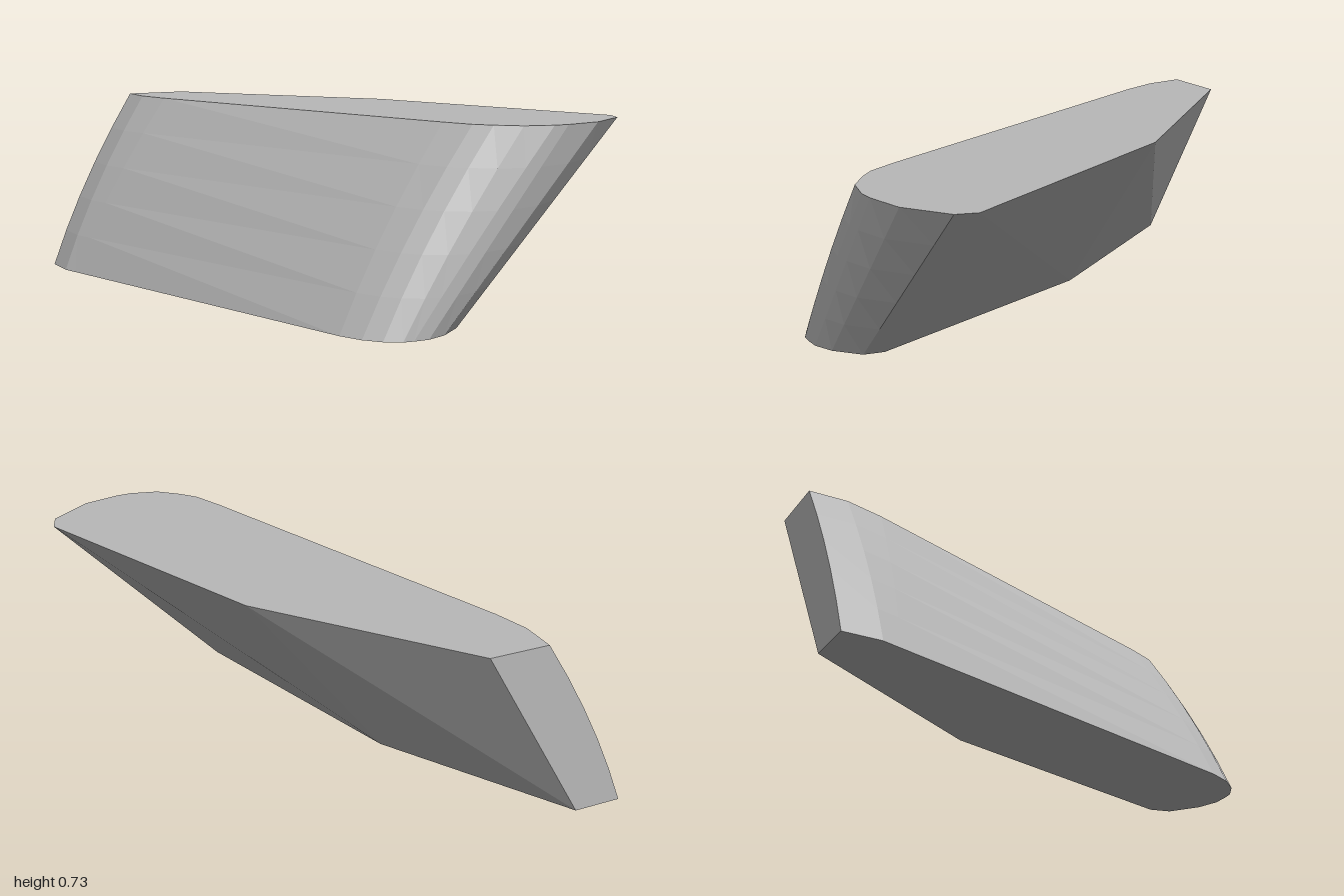
import * as THREE from 'three';

const HEIGHT = 0.725;
const LEVELS = 5;

// Matching outline points: [top x, top z, bottom x, bottom z, outward bow]
const OUTLINE = [
  [0.8, 0.78, 0.1, 0.78, 0],
  [0.77, 0.86, 0.08, 0.86, 0],
  [0.6, 0.97, -0.02, 0.94, 0],
  [0.45, 1, -0.1, 0.97, 0],
  [0.39, 1, -0.16, 0.97, 0.3],
  [0.28, 0.97, -0.2, 0.965, 0.7],
  [0.2, 0.9, -0.26, 0.93, 1],
  [0.15, 0.84, -0.31, 0.87, 1],
  [0.1, 0.72, -0.35, 0.78, 1],
  [-0.4, -0.7, -0.78, -0.78, 1],
  [-0.44, -0.85, -0.8, -0.85, 1],
  [-0.44, -1, -0.8, -1, 1],
  [-0.2, -1, -0.61, -1, 0],
  [0.39, -0.25, -0.18, -0.25, 0],
];

// Point on the wall at height fraction t, with the left side bowed outward
function wallPoint(i, t) {
  const [tx, tz, bx, bz, bow] = OUTLINE[i % OUTLINE.length];
  const bulge = bow * 0.1 * t * (1 - t);
  return [bx + (tx - bx) * t - bulge, HEIGHT * t, bz + (tz - bz) * t];
}

function facetMesh(name, triangles, material) {
  const geometry = new THREE.BufferGeometry();
  geometry.setAttribute('position', new THREE.Float32BufferAttribute(triangles.flat(2), 3));
  geometry.computeVertexNormals();
  const mesh = new THREE.Mesh(geometry, material);
  mesh.name = name;
  return mesh;
}

// Wall strip between outline points, split into the given number of levels
function wall(from, to, levels) {
  const tris = [];
  for (let i = from; i < to; i++) {
    for (let k = 0; k < levels; k++) {
      const t0 = k / levels, t1 = (k + 1) / levels;
      const a = wallPoint(i, t0), b = wallPoint(i, t1);
      const c = wallPoint(i + 1, t1), d = wallPoint(i + 1, t0);
      tris.push([a, b, c], [a, c, d]);
    }
  }
  return tris;
}

// Flat convex end at the top (t = 1) or bottom (t = 0)
function cap(t) {
  const tris = [];
  for (let i = 1; i < OUTLINE.length - 1; i++) {
    const a = wallPoint(0, t), b = wallPoint(i, t), c = wallPoint(i + 1, t);
    tris.push(t ? [a, c, b] : [a, b, c]);
  }
  return tris;
}

export function createModel() {
  const grey = new THREE.MeshStandardMaterial({ color: 0xb8b8b8, flatShading: true });
  grey.name = 'grey';

  const model = new THREE.Group();
  model.name = 'slantedBlock';
  model.add(
    facetMesh('curvedWall', wall(0, 11, LEVELS), grey),
    facetMesh('backWall', wall(11, 12, LEVELS), grey),
    facetMesh('overhangWall', wall(12, 14, 1), grey),
    facetMesh('topFace', cap(1), grey),
    facetMesh('bottomFace', cap(0), grey),
  );
  return model;
}
